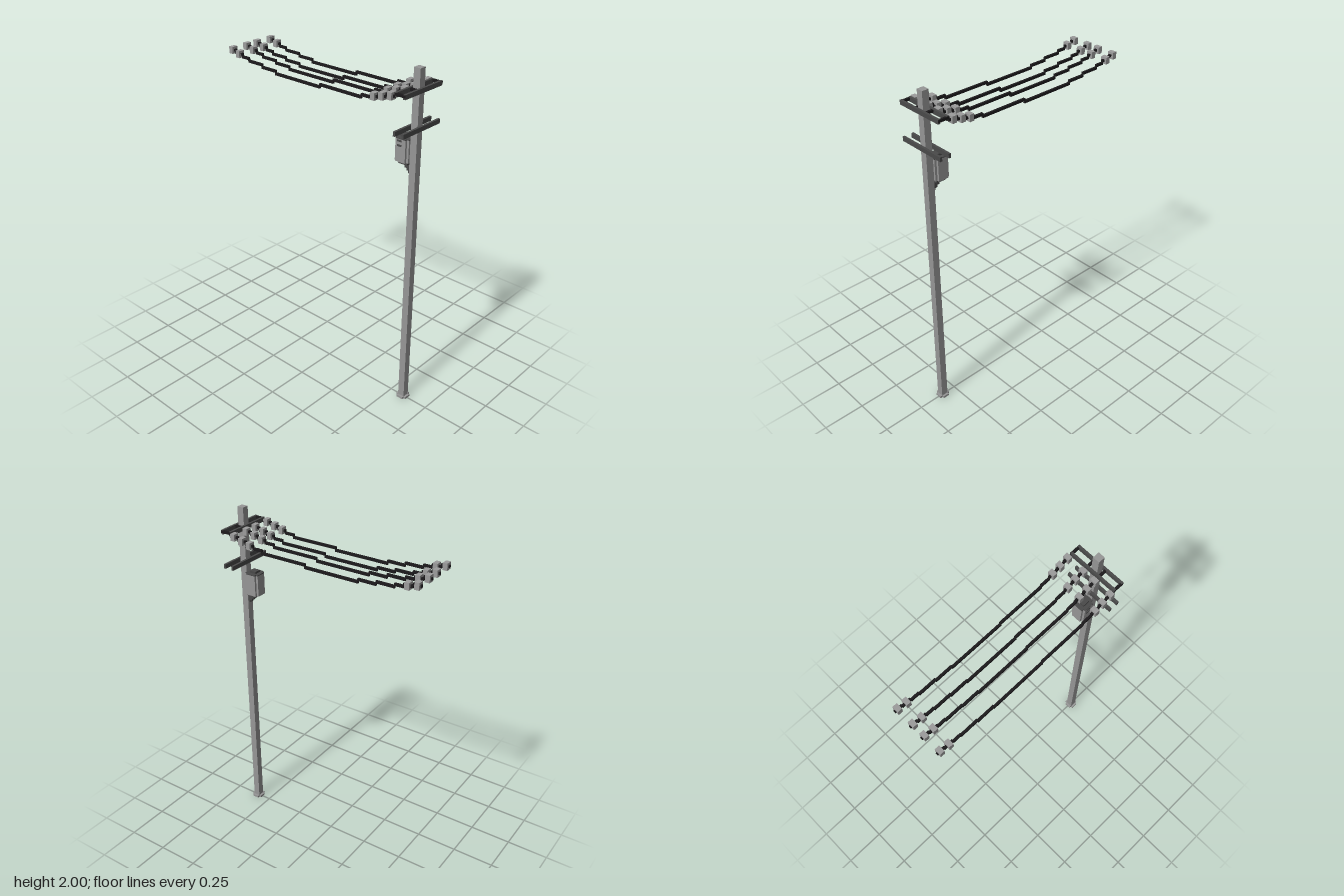
import * as THREE from 'three';

const mat = (name, color) => {
  const m = new THREE.MeshStandardMaterial({ color });
  m.name = name;
  return m;
};

export function createModel() {
  const root = new THREE.Group();
  root.name = 'utilityPole';
  const concrete = mat('concrete grey', 0x969696);
  const ceramic = mat('ceramic grey', 0x9c9c9c);
  const steel = mat('dark steel', 0x4a4a4a);
  const rubber = mat('black cable', 0x1c1a1c);

  // Box given by its minimum and maximum on each axis
  const box = (name, m, [x0, x1], [y0, y1], [z0, z1], parent = root) => {
    const mesh = new THREE.Mesh(new THREE.BoxGeometry(x1 - x0, y1 - y0, z1 - z0), m);
    mesh.position.set((x0 + x1) / 2, (y0 + y1) / 2, (z0 + z1) / 2);
    mesh.name = name;
    parent.add(mesh);
    return mesh;
  };

  // Upright block with square notches cut from its four corners
  const notched = (name, m, cx, y0, y1, w, d, n, parent = root) => {
    const a = w / 2, b = d / 2;
    const corner = [[a, b - n], [a - n, b - n], [a - n, b]];
    const flip = (sx, sz, rev) => {
      const p = corner.map(([x, z]) => new THREE.Vector2(x * sx, z * sz));
      return rev ? p.reverse() : p;
    };
    const pts = [...flip(1, 1), ...flip(-1, 1, true), ...flip(-1, -1), ...flip(1, -1, true)];
    const g = new THREE.ExtrudeGeometry(new THREE.Shape(pts), { depth: y1 - y0, bevelEnabled: false });
    g.rotateX(-Math.PI / 2);
    const mesh = new THREE.Mesh(g, m);
    mesh.position.set(cx, y0, 0);
    mesh.name = name;
    parent.add(mesh);
  };

  // Pole and foot
  const px = 0.587;
  box('pole', concrete, [px - 0.02, px + 0.02], [0, 2], [-0.02, 0.02]);
  notched('poleFoot', concrete, px, 0, 0.0133, 0.066, 0.066, 0.0133);

  // Paired crossarms on both sides of the pole
  for (const y of [1.69, 1.89]) {
    for (const x of [px - 0.0267, px + 0.0267]) {
      box('crossarm', steel, [x - 0.0065, x + 0.0065], [y - 0.0125, y + 0.0125], [-0.148, 0.148]);
    }
  }

  // Sagging wires made of level steps, with insulators near both ends
  const u = 0.0133, low = 1.8133;
  const steps = [ // start x, end x, level above the lowest run
    [-0.62, -0.572, 5], [-0.572, -0.52, 4], [-0.52, -0.47, 3], [-0.47, -0.365, 2],
    [-0.365, -0.26, 1], [-0.26, 0.065, 0], [0.065, 0.347, 1], [0.347, 0.405, 2],
    [0.405, 0.455, 3], [0.455, 0.505, 4], [0.505, 0.557, 5], [0.557, 0.62, 6],
  ];
  const insulators = [[-0.6, 5], [-0.546, 4], [0.427, 3], [0.479, 4], [0.532, 5]];
  for (const z of [-0.145, -0.04, 0.038, 0.142]) {
    const line = new THREE.Group();
    line.name = 'wireLine';
    root.add(line);
    for (const [x0, x1, k] of steps) {
      const y = low + k * u;
      box('wire', rubber, [x0 - (x0 > -0.6 ? 0.003 : 0), x1], [y - 0.007, y + 0.007], [z - 0.0065, z + 0.0065], line);
    }
    for (const [x, k] of insulators) {
      const y = low + k * u;
      box('insulator', ceramic, [x - 0.0135, x + 0.0135], [y - 0.0195, y + 0.0195], [z - 0.0185, z + 0.0185], line);
    }
  }

  // Transformer can with lid, cap, base and front fittings
  const can = new THREE.Group();
  can.name = 'transformer';
  root.add(can);
  const tx = 0.523;
  notched('transformerBody', concrete, tx, 1.495, 1.62, 0.086, 0.084, 0.0125, can);
  notched('transformerLid', steel, tx, 1.62, 1.625, 0.086, 0.084, 0.0125, can);
  box('transformerCap', steel, [0.503, 0.543], [1.625, 1.638], [-0.02, 0.02], can);
  box('transformerBase', steel, [0.503, 0.56], [1.483, 1.495], [-0.03, 0.03], can);
  for (const y of [1.611, 1.585]) {
    box('transformerPlate', steel, [0.503, 0.528], [y - 0.005, y + 0.005], [0.041, 0.045], can);
  }

  // Stepped bracket carrying the transformer
  [0.515, 0.531, 0.545, 0.557].forEach((x, i) => {
    const top = 1.486 - i * 0.0127;
    box('bracketStep', steel, [x, 0.568], [top - 0.0127, top], [-0.013, 0.013], can);
  });

  return root;
}
